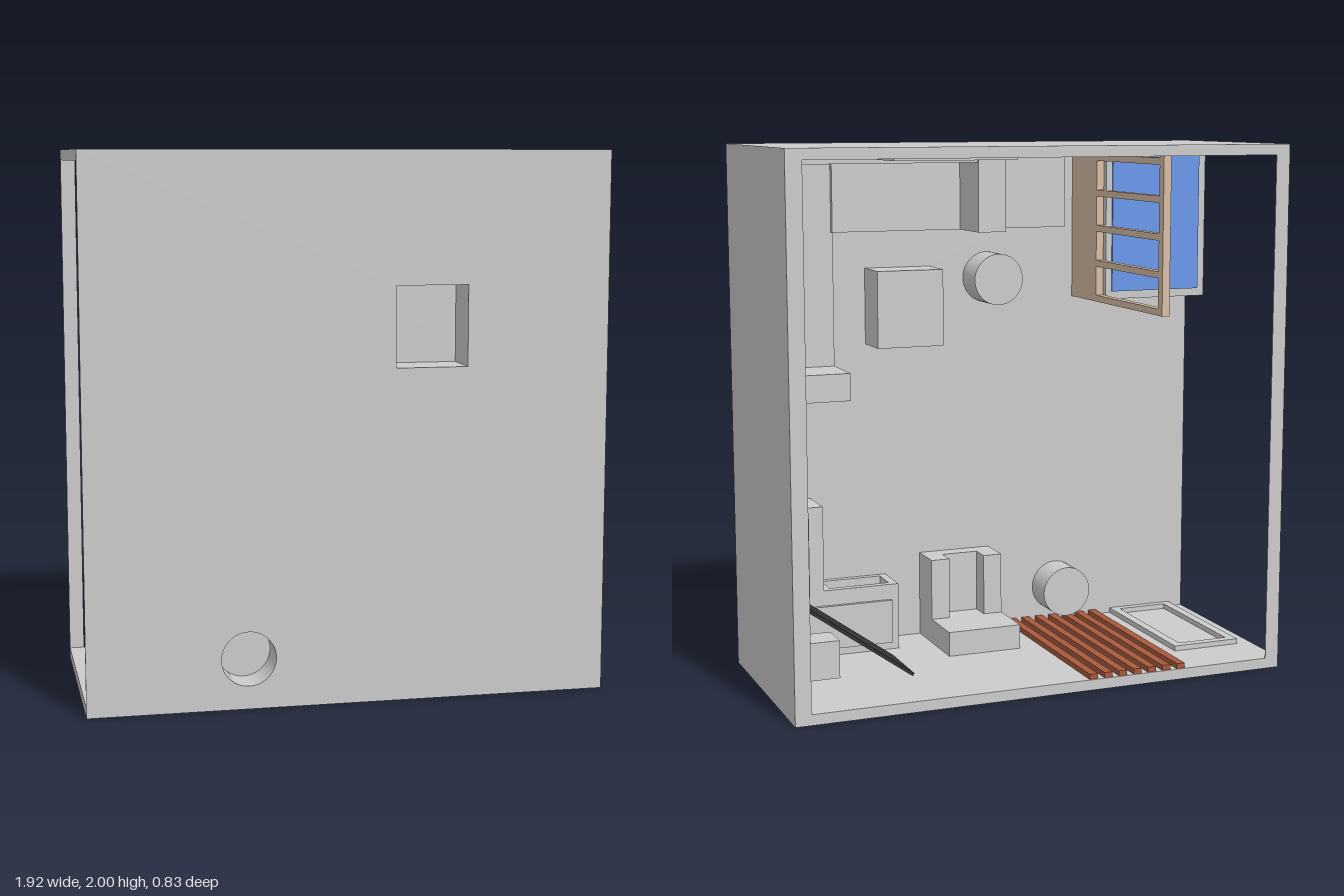
import * as THREE from 'three';
import { toCreasedNormals } from 'three/addons/utils/BufferGeometryUtils.js';

const paint = (color) => new THREE.MeshStandardMaterial({ color, side: THREE.DoubleSide });
const FLOOR = 0.41; // z of the room's floor; heights are measured from it towards -z

export function createModel() {
  const grey = paint(0xcccccc), wood = paint(0xd9bea5), slat = paint(0xa8593c);
  const blue = paint(0x6a97ec), black = paint(0x333333);
  const root = new THREE.Group();
  root.name = 'furnishedRoom';

  const group = (name) => {
    const g = new THREE.Group();
    g.name = name;
    root.add(g);
    return g;
  };
  const add = (parent, name, geometry, material = grey) => {
    const m = new THREE.Mesh(geometry, material);
    m.name = name;
    parent.add(m);
    return m;
  };
  // block from x, y and height ranges
  const block = (parent, name, [x0, x1], [y0, y1], [h0, h1], material = grey) => {
    const m = add(parent, name, new THREE.BoxGeometry(x1 - x0, y1 - y0, h1 - h0), material);
    m.position.set((x0 + x1) / 2, (y0 + y1) / 2, FLOOR - (h0 + h1) / 2);
    return m;
  };
  const polygon = (pts) => new THREE.Shape(pts.map(([x, y]) => new THREE.Vector2(x, y)));
  // outline in x, y raised between two heights
  const raised = (parent, name, shape, h0, h1) => {
    const geo = new THREE.ExtrudeGeometry(shape, { depth: h1 - h0, bevelEnabled: false, curveSegments: 24 });
    add(parent, name, geo).position.z = FLOOR - h1;
  };

  // Shell: floor slab with two openings, three walls and a thin rim on the open side
  const shell = group('shell');
  const slab = polygon([[-0.96, 0], [0.96, 0], [0.96, 2], [-0.96, 2]]);
  slab.holes.push(new THREE.Path([[0.165, 1.225], [0.165, 1.52], [0.43, 1.52], [0.43, 1.225]]
    .map(([x, y]) => new THREE.Vector2(x, y))));
  slab.holes.push(new THREE.Path().absarc(-0.375, 0.185, 0.1, 0, Math.PI * 2, true));
  raised(shell, 'floor', slab, -0.005, 0.005);
  block(shell, 'lowerWall', [-0.96, 0.96], [0, 0.04], [0, 0.825]);
  block(shell, 'upperWall', [-0.96, 0.96], [1.96, 2], [0, 0.825]);
  block(shell, 'sideWall', [0.9, 0.96], [0.04, 1.96], [0, 0.825]);
  block(shell, 'openSideRim', [-0.96, -0.905], [0.04, 1.96], [0.821, 0.825]);

  // Stools: hollow, open towards the floor
  const stool = (name, x, y, w, d, sides, height) => {
    const r = sides === 4 ? Math.SQRT1_2 : 0.5;
    const profile = [[0, height], [r, height], [r, -0.005]].map((p) => new THREE.Vector2(...p));
    const geo = new THREE.LatheGeometry(profile, sides, Math.PI / 4);
    geo.scale(w, 1, d);
    geo.rotateX(-Math.PI / 2);
    add(root, name, toCreasedNormals(geo, 0.6)).position.set(x, y, FLOOR);
  };
  stool('squareStool', 0.2975, 1.3725, 0.265, 0.295, 4, 0.165);
  stool('roundStool', -0.375, 0.185, 0.2, 0.2, 40, 0.13);
  stool('secondRoundStool', -0.075, 1.47, 0.2, 0.2, 40, 0.14);

  // Corner sofa along the side wall and the upper wall
  const sofa = group('cornerSofa');
  block(sofa, 'sideSeat', [0.593, 0.9], [1.16, 1.96], [0, 0.13]);
  block(sofa, 'upperSeat', [0.08, 0.6], [1.67, 1.96], [0, 0.15]);
  block(sofa, 'sideBack', [0.87, 0.9], [1.16, 1.96], [0.12, 0.34]);
  block(sofa, 'upperBack', [0.08, 0.87], [1.93, 1.96], [0.12, 0.34]);
  block(sofa, 'lowerArm', [0.593, 0.9], [1.06, 1.163], [0, 0.34]);
  block(sofa, 'endArm', [-0.02, 0.09], [1.67, 1.96], [0, 0.35]);
  block(root, 'sideTable', [-0.35, -0.1], [1.67, 1.96], [0, 0.15]);

  // Armchair with its back against the lower wall
  const chair = group('armchair');
  block(chair, 'chairBack', [-0.08, 0.215], [0.04, 0.135], [0, 0.35]);
  block(chair, 'chairSeat', [-0.08, 0.215], [0.13, 0.374], [0, 0.07]);
  for (const x of [-0.08, 0.14]) block(chair, 'chairArm', [x, x + 0.075], [0.13, 0.374], [0, 0.15]);

  // L-shaped cabinet with a raised panel and framed recesses
  const cabinet = group('cornerCabinet');
  const ell = (i, inner) => polygon([[0.9 - i, 0.04 + i], [0.36 + i, 0.04 + i], [0.36 + i, 0.3 - inner],
    [0.66 + inner, 0.3 - inner], [0.66 + inner, 0.63 - i], [0.9 - i, 0.63 - i]]);
  raised(cabinet, 'cabinetBody', ell(0, 0.03), 0, 0.17);
  raised(cabinet, 'cabinetPanel', ell(0.03, 0.06), 0.17, 0.185);
  for (const h of [0, 0.14]) {
    block(cabinet, 'uprightRail', [0.66, 0.69], [0.27, 0.63], [h, h + 0.03]);
    block(cabinet, 'lowRail', [0.36, 0.69], [0.27, 0.3], [h, h + 0.03]);
  }
  for (const y of [0.3, 0.6]) block(cabinet, 'uprightCrossRail', [0.66, 0.69], [y, y + 0.03], [0, 0.17]);
  for (const x of [0.36, 0.63]) block(cabinet, 'lowCrossRail', [x, x + 0.03], [0.27, 0.3], [0, 0.17]);

  // Screen hung across the corner, on a wall bracket
  const screen = add(root, 'screen', new THREE.BoxGeometry(0.466, 0.012, 0.245), black);
  screen.position.set(0.67, 0.235, FLOOR - 0.577);
  screen.rotation.z = Math.atan2(0.272, 0.38);
  block(root, 'screenBracket', [0.74, 0.9], [0.1, 0.24], [0.52, 0.64]);

  // Slatted wall cladding
  const cladding = group('slattedCladding');
  for (let i = 0; i < 7; i++) {
    const x = -0.2 - i * 0.06;
    block(cladding, 'claddingSlat', [x, x + 0.033], [0.04, 0.06], [0, 0.82], slat);
  }

  // Door and picture frames on the end walls
  const frame = (name, [x0, x1], [y0, y1], [h0, h1], t) => {
    const g = group(name);
    block(g, 'leftStile', [x1 - t, x1], [y0, y1], [h0, h1]);
    block(g, 'rightStile', [x0, x0 + t], [y0, y1], [h0, h1]);
    block(g, 'topRail', [x0, x1], [y0, y1], [h1 - t, h1]);
    block(g, 'bottomRail', [x0, x1], [y0, y1], [h0, h0 + t]);
  };
  frame('doorFrame', [-0.9, -0.626], [0.04, 0.06], [0, 0.61], 0.035);
  frame('pictureFrame', [0.086, 0.546], [1.95, 1.96], [0.475, 0.726], 0.012);

  // Wooden partition: solid low panel with upright bars above
  const partition = group('partition');
  const px = [-0.475, -0.445];
  block(partition, 'partitionPanel', px, [1.38, 1.96], [0, 0.24], wood);
  block(partition, 'partitionTopRail', px, [1.38, 1.96], [0.785, 0.82], wood);
  for (let i = 0; i < 5; i++) {
    const y = 1.38 + i * 0.137;
    block(partition, 'partitionBar', px, [y, y + 0.025], [0.24, 0.79], wood);
  }

  // Raised bed beside the partition
  const bed = group('bed');
  block(bed, 'bedBase', [-0.905, -0.475], [1.39, 1.96], [0.235, 0.265]);
  block(bed, 'mattress', [-0.875, -0.5], [1.42, 1.96], [0.255, 0.272], blue);
  block(bed, 'bedLeg', [-0.9, -0.77], [1.39, 1.5], [0, 0.24]);

  return root;
}
